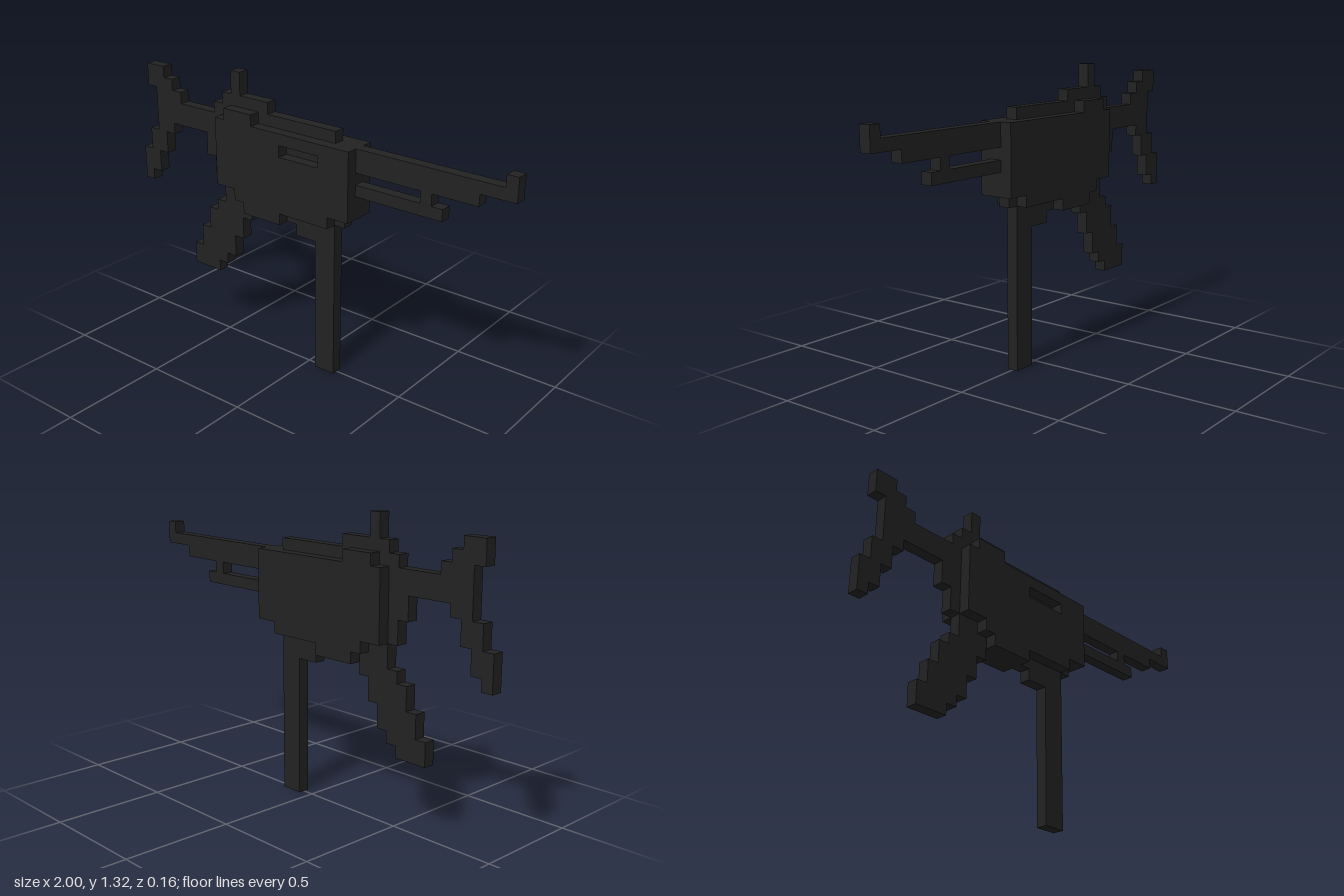
import * as THREE from 'three';

const U = 2 / 38; // size of one block

// Stepped outline from stacked rows [bottom, top, left, right], counted in blocks
function steppedShape(rows) {
  const right = rows.flatMap(([b, t, , r]) => [[r, b], [r, t]]);
  const left = rows.flatMap(([b, t, l]) => [[l, b], [l, t]]).reverse();
  const toPoint = ([i, j]) => new THREE.Vector2(i * U - 1, j * U);
  return new THREE.Shape([...right, ...left].map(toPoint));
}

export function createModel() {
  const group = new THREE.Group();
  const black = new THREE.MeshStandardMaterial({ color: 0x222222 });
  black.name = 'black metal';

  // Each part is one block thick; layer 0 is the middle
  function addPart(name, rows, layer = 0, holeRows = null) {
    const shape = steppedShape(rows);
    if (holeRows) shape.holes.push(steppedShape(holeRows));
    const geometry = new THREE.ExtrudeGeometry(shape, { depth: U, bevelEnabled: false });
    geometry.translate(0, 0, (layer - 0.5) * U);
    const mesh = new THREE.Mesh(geometry, black);
    mesh.name = name;
    group.add(mesh);
  }

  // Middle layer
  addPart('receiverCore', [
    [13, 14, 13, 22], [14, 15, 13, 23], [15, 17, 9, 24], [17, 19, 8, 24],
    [19, 21, 9, 24], [21, 22, 9, 22], [22, 23, 10, 15],
  ]);
  addPart('rearSight', [[23, 25, 11, 12]]);
  addPart('stock', [
    [13, 14, 0, 1], [14, 16, 0, 2], [16, 18, 1, 3], [18, 19, 2, 4],
    [19, 21, 2, 9], [21, 22, 2, 5], [22, 23, 1, 4], [23, 24, 1, 3],
  ]);
  addPart('grip', [
    [6, 7, 6, 9], [7, 8, 6, 10], [8, 10, 7, 11], [10, 12, 8, 12],
    [12, 13, 9, 13], [13, 15, 10, 13],
  ]);
  addPart('magazine', [[0, 12, 20, 22], [12, 13, 18, 22]]);
  addPart('barrel', [[19, 20, 24, 35], [20, 21, 24, 38]]);
  addPart('frontSight', [[21, 22, 37, 38]]);
  addPart('lowerRod', [[17, 18, 24, 32]]);
  addPart('rodPost', [[18, 19, 30, 31]]);

  // Side plates, with a recessed slot on the front one
  const plate = [[13, 14, 13, 17], [14, 15, 12, 22], [15, 21, 10, 24], [21, 22, 11, 14]];
  addPart('frontSidePlate', plate, 1, [[19, 20, 17, 21]]);
  addPart('backSidePlate', plate, -1);

  return group;
}
